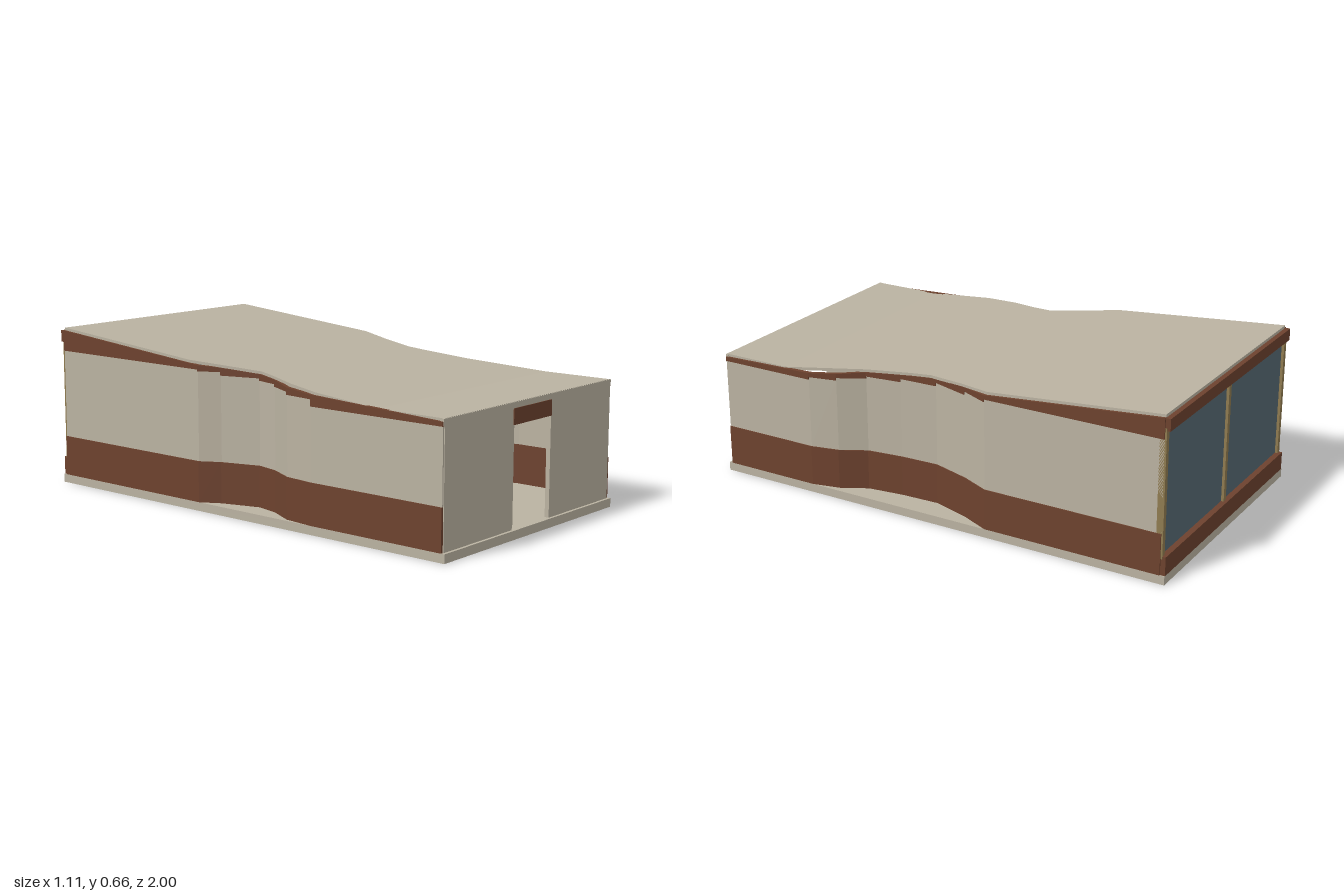
import * as THREE from 'three';
import { mergeGeometries } from 'three/addons/utils/BufferGeometryUtils.js';

const mat = (name, color, side = THREE.FrontSide) => {
  const m = new THREE.MeshStandardMaterial({ color, side });
  m.name = name;
  return m;
};

// Piecewise linear lookup in a list of [z, value] sorted by z
function lookup(points, z) {
  for (let i = 1; i < points.length; i++) {
    const [z0, v0] = points[i - 1], [z1, v1] = points[i];
    if (z <= z1) return v0 + (v1 - v0) * (z - z0) / (z1 - z0);
  }
  return points[points.length - 1][1];
}

// Six-sided block between two stations in z; each station is { z, x0, x1, y0, y1 }
function block(a, b) {
  const p = [a, b].flatMap(s => [
    [s.x0, s.y0, s.z], [s.x1, s.y0, s.z], [s.x1, s.y1, s.z], [s.x0, s.y1, s.z]]);
  const quads = [[1, 0, 3, 2], [4, 5, 6, 7], [0, 4, 7, 3], [5, 1, 2, 6], [3, 7, 6, 2], [0, 1, 5, 4]];
  const pos = quads.flatMap(([i, j, k, l]) => [i, j, k, i, k, l].flatMap(n => p[n]));
  const g = new THREE.BufferGeometry();
  g.setAttribute('position', new THREE.Float32BufferAttribute(pos, 3));
  g.computeVertexNormals();
  return g;
}

// Row of blocks through a list of stations
const strip = stations => mergeGeometries(stations.slice(1).map((s, i) => block(stations[i], s)));

export function createModel() {
  const group = new THREE.Group();
  const plaster = mat('plaster', 0xbab2a1);
  const wood = mat('brown wood', 0x6d422e);
  const glass = mat('blue glass', 0x566972);
  const brass = mat('brass frame', 0x8f7b50);

  const add = (name, geometry, material) => {
    const mesh = new THREE.Mesh(geometry, material);
    mesh.name = name;
    group.add(mesh);
    return mesh;
  };
  // Box given by its limits
  const box = (name, material, x0, x1, y0, y1, z0, z1) => {
    const mesh = add(name, new THREE.BoxGeometry(x1 - x0, y1 - y0, z1 - z0), material);
    mesh.position.set((x0 + x1) / 2, (y0 + y1) / 2, (z0 + z1) / 2);
    return mesh;
  };

  // Floor slab
  box('floorSlab', plaster, -0.555, 0.555, 0, 0.035, -1, 1);

  // Roof: flat at the front, rising to the back, pinched at the waist
  const roofTop = z => lookup([[-0.98, 0.66], [0.69, 0.515], [1, 0.515]], z);
  const roofLeft = [[-0.98, 0.545], [-0.25, 0.545], [-0.1, 0.492], [0.06, 0.447],
    [0.15, 0.449], [0.35, 0.468], [0.69, 0.545], [0.985, 0.545]];
  const roofRight = [[-0.98, -0.545], [-0.25, -0.545], [-0.12, -0.505], [0.05, -0.455],
    [0.13, -0.475], [0.25, -0.515], [0.4, -0.545], [0.985, -0.545]];
  const stations = [...new Set([...roofLeft, ...roofRight].map(p => p[0]))].sort((a, b) => a - b);
  add('roof', strip(stations.map(z => ({
    z, x0: lookup(roofRight, z), x1: lookup(roofLeft, z), y0: roofTop(z) - 0.012, y1: roofTop(z),
  }))), plaster);

  // Curving side walls: wood base, plaster panels with stepped tops, wood band under the roof
  const wallLeft = [[-0.98, 0.555], [-0.24, 0.555], [-0.12, 0.5], [0.04, 0.45],
    [0.2, 0.456], [0.35, 0.474], [0.455, 0.53], [0.57, 0.555], [0.985, 0.555]];
  const wallRight = [[-0.98, -0.555], [-0.2, -0.555], [-0.12, -0.51], [0.04, -0.462],
    [0.14, -0.485], [0.25, -0.54], [0.38, -0.555], [0.985, -0.555]];
  for (const [side, path, s] of [['left', wallLeft, 1], ['right', wallRight, -1]]) {
    const station = ([z, x], inset, y0, y1) => {
      const outer = x - s * inset, inner = x - s * 0.018;
      return { z, x0: Math.min(outer, inner), x1: Math.max(outer, inner), y0, y1 };
    };
    add(side + 'WallBase', strip(path.map(p => station(p, 0, 0.035, 0.2))), wood);
    const panels = [], bands = [];
    for (let i = 1; i < path.length; i++) {
      const a = path[i - 1], b = path[i], step = roofTop(b[0]) - 0.028;
      panels.push(block(station(a, 0.004, 0.2, step), station(b, 0.004, 0.2, step)));
      bands.push(block(station(a, 0, step, roofTop(a[0]) - 0.011),
        station(b, 0, step, roofTop(b[0]) - 0.011)));
    }
    add(side + 'WallPanels', mergeGeometries(panels), plaster);
    add(side + 'WallTopBand', mergeGeometries(bands), wood);
  }

  // Front wall with doorway, lintel and fascia
  for (const s of [-1, 1]) {
    const edges = [s * 0.125, s * 0.545].sort((a, b) => a - b);
    box(s > 0 ? 'frontWallLeft' : 'frontWallRight', plaster, ...edges, 0.035, 0.49, 0.97, 0.988);
  }
  box('doorLintel', wood, -0.125, 0.125, 0.43, 0.492, 0.972, 0.991);
  box('frontFascia', plaster, -0.55, 0.55, 0.49, 0.514, 0.975, 0.988);

  // Inner wall along the entrance
  box('entranceWall', plaster, -0.125, -0.1, 0.035, 0.49, 0.3, 0.975);

  // Glazed back wall
  box('backGlass', glass, -0.54, 0.54, 0.1, 0.63, -0.976, -0.968);
  box('backLowerBeam', wood, -0.55, 0.55, 0.035, 0.11, -1, -0.965);
  box('backUpperBeam', wood, -0.55, 0.55, 0.6, 0.648, -1, -0.965);
  for (const x of [-0.541, 0, 0.541])
    box('backMullion', brass, x - 0.01, x + 0.01, 0.1, 0.61, -0.987, -0.96);

  // Table and cabinet inside
  box('tableTop', wood, -0.1, 0.115, 0.15, 0.162, -0.2, 0.15);
  for (const z of [-0.18, 0.13])
    box('tableLeg', brass, -0.1, -0.09, 0.035, 0.15, z - 0.005, z + 0.005);
  box('cabinet', plaster, 0.075, 0.3, 0.035, 0.143, -0.2, 0.15);
  box('cabinetTop', wood, 0.05, 0.3, 0.143, 0.152, -0.21, 0.16);

  return group;
}
